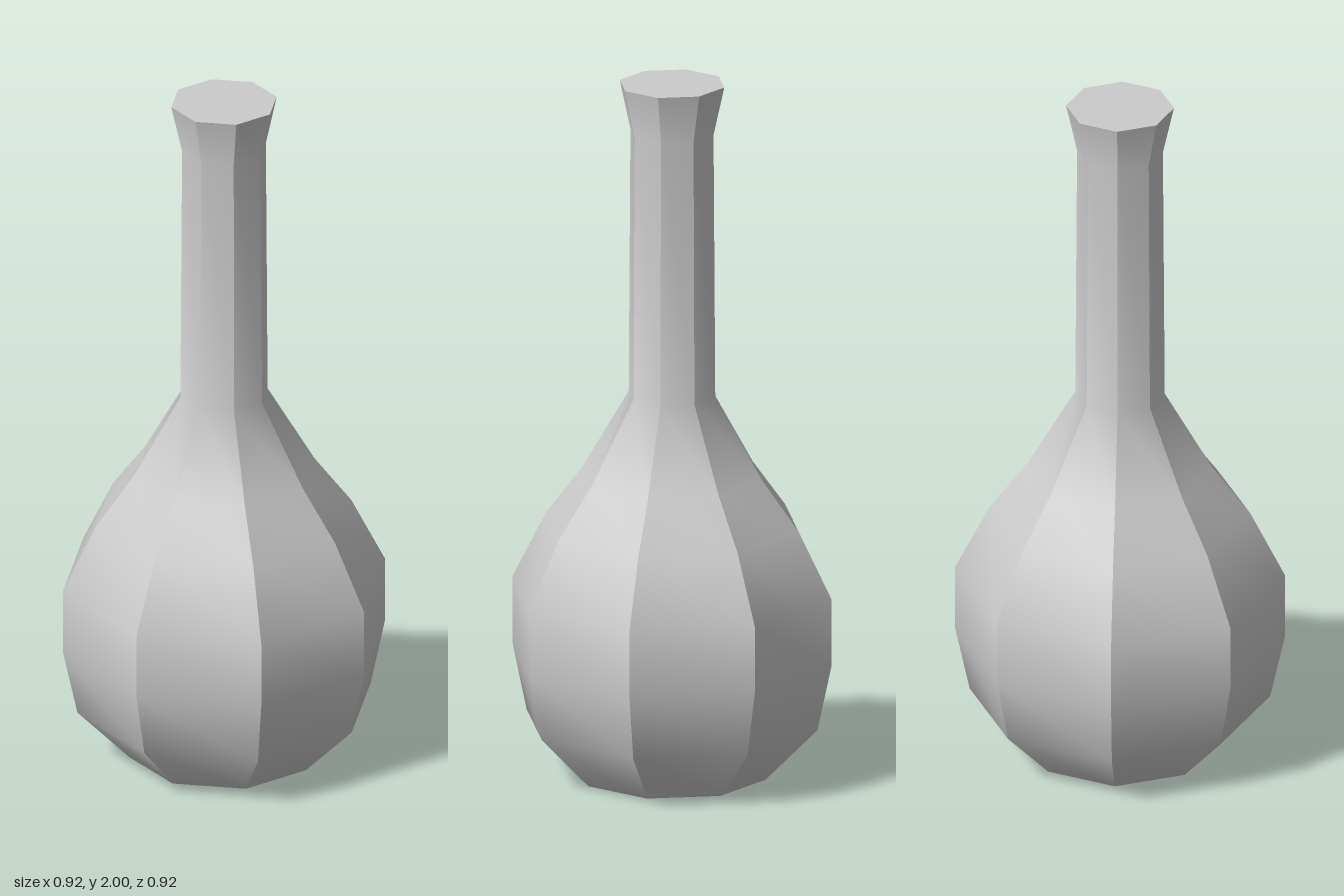
import * as THREE from 'three';
import { mergeGeometries } from 'three/addons/utils/BufferGeometryUtils.js';

const SIDES = 8;

// Half outline from the foot to the lip: [radius, height]
const PROFILE = [
  [0.27, 0], [0.42, 0.155], [0.461, 0.345], [0.461, 0.537], [0.365, 0.728],
  [0.26, 0.868], [0.125, 1.1], [0.12, 1.86], [0.151, 2],
].map(([r, y]) => new THREE.Vector2(r, y));

export function createModel() {
  const group = new THREE.Group();
  group.name = 'bottle';
  const material = new THREE.MeshStandardMaterial({ color: 0xcccccc });

  const add = (name, geometry) => {
    const mesh = new THREE.Mesh(geometry, material);
    mesh.name = name;
    group.add(mesh);
    return mesh;
  };

  // Body and neck: one panel per side, smooth upwards with a sharp edge between panels
  const step = (Math.PI * 2) / SIDES;
  const panels = [];
  for (let i = 0; i < SIDES; i++) {
    const panel = new THREE.LatheGeometry(PROFILE, 1, i * step, step);
    panel.computeVertexNormals();
    panels.push(panel);
  }
  add('bodyAndNeck', mergeGeometries(panels));

  // Flat closed top and base
  const top = add('topCap', new THREE.CircleGeometry(0.151, SIDES));
  top.rotation.x = -Math.PI / 2;
  top.position.y = 2;
  add('base', new THREE.CircleGeometry(0.27, SIDES)).rotation.x = Math.PI / 2;

  return group;
}
